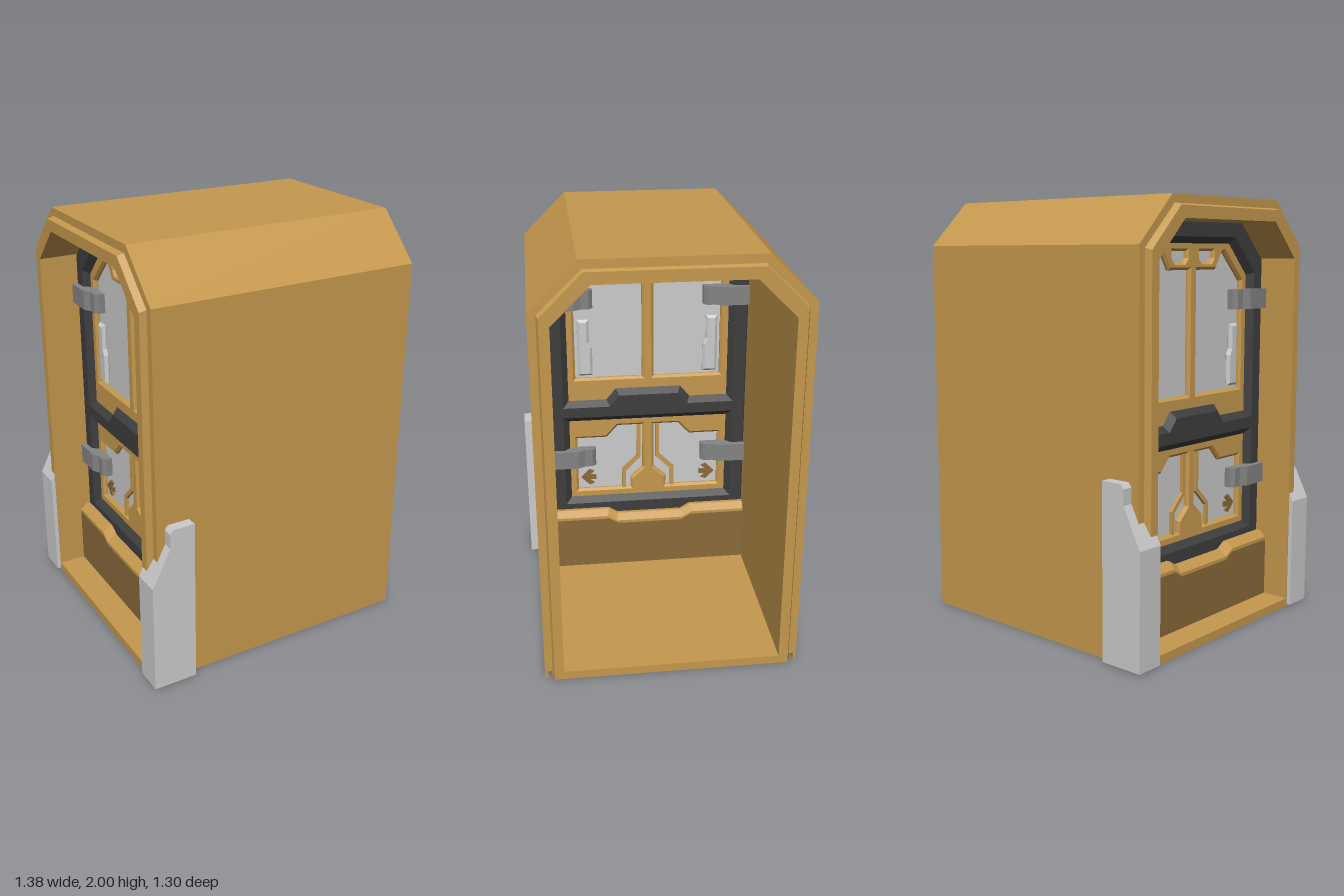
import * as THREE from 'three';

const mat = (color) => new THREE.MeshStandardMaterial({ color, flatShading: true });
const ORANGE = mat(0xc6994e), BROWN = mat(0x8a6a3a), BLACK = mat(0x3e3e3e);
const GREY = mat(0xcccccc), DARK_GREY = mat(0x848484);

const vecs = (pts) => pts.map(([a, b]) => new THREE.Vector2(a, b));
const flip = (pts) => pts.map(([a, b]) => [-a, b]);
// Completes a half outline, listed from bottom to top, across z = 0
const whole = (half) => [...half, ...flip(half).reverse()];

function extrude(pts, depth, bevel = 0, holes = []) {
  const shape = new THREE.Shape(vecs(pts));
  holes.forEach((h) => shape.holes.push(new THREE.Path(vecs(h))));
  return new THREE.ExtrudeGeometry(shape, {
    depth: depth - 2 * bevel, bevelEnabled: bevel > 0, bevelSegments: 1,
    bevelSize: bevel, bevelThickness: bevel, bevelOffset: -bevel,
  }).translate(0, 0, bevel);
}

function add(parent, name, geometry, material) {
  const mesh = new THREE.Mesh(geometry, material);
  mesh.name = name;
  parent.add(mesh);
  return mesh;
}

// Outline in (z, y), thickness from d0 to d1 measured towards -x
function slab(parent, name, material, pts, d0, d1, bevel = 0, holes = []) {
  const g = extrude(pts, d1 - d0, bevel, holes).translate(0, 0, d0).rotateY(-Math.PI / 2);
  return add(parent, name, g, material);
}

function box(parent, name, material, size, pos) {
  return add(parent, name, new THREE.BoxGeometry(...size).translate(...pos), material);
}

// Open-bottomed arch band between two half outlines
const band = (outer, inner) => [...whole(outer), ...whole(inner).reverse()];
const inner = (y) => [[0.51, y], [0.51, 1.73], [0.34, 1.9]];

// End rim whose outer edge tapers towards the end at |x| = tip
function rim(parent, name, d0, d1, tip) {
  const outer = [[0.568, 0], [0.568, 1.78], [0.378, 1.965]];
  const mesh = slab(parent, name, ORANGE, band(outer, inner(0)), d0, d1);
  const p = mesh.geometry.attributes.position;
  for (let i = 0; i < p.count; i++) {
    const atTip = Math.abs(Math.abs(p.getX(i)) - tip) < 1e-4;
    if (!atTip || (Math.abs(p.getZ(i)) < 0.52 && p.getY(i) < 1.91)) continue;
    p.setZ(i, p.getZ(i) * 0.977);
    if (p.getY(i) > 1) p.setY(i, p.getY(i) - 0.012);
  }
  mesh.geometry.computeVertexNormals();
}

// One face of the doorway, looking towards -x
function doorFace() {
  const face = new THREE.Group();
  face.name = 'doorFace';

  // Dark surround with an upper and a lower opening
  const upper = whole([[0.17, 1.05], [0.22, 0.99], [0.41, 0.99], [0.41, 1.65], [0.27, 1.795]]);
  const lower = whole([[0.41, 0.43], [0.41, 0.865]]);
  slab(face, 'doorFrame', BLACK, whole([[0.54, 0.04], [0.54, 1.74], [0.35, 1.93]]),
    0, 0.1, 0.035, [upper, lower]);

  // Coloured door skin with cut-outs over the grey core
  const window = [[0.375, 1.105], [0.03, 1.105], [0.03, 1.68], [0.175, 1.68], [0.225, 1.76],
    [0.24, 1.76], [0.375, 1.625]];
  const vent = [[0.15, 1.765], [0.05, 1.765], [0.05, 1.735], [0.068, 1.715], [0.132, 1.715],
    [0.15, 1.735]];
  const panel = [[0.375, 0.465], [0.095, 0.465], [0.095, 0.52], [0.03, 0.58], [0.03, 0.83],
    [0.16, 0.83], [0.22, 0.765], [0.375, 0.765]];
  const holes = [window, vent, panel].flatMap((h) => [h, flip(h)]);
  slab(face, 'doorSkin', ORANGE, whole([[0.46, 0.4], [0.46, 1.68], [0.29, 1.84]]),
    0, 0.07, 0.012, holes);
  slab(face, 'doorCore', GREY, whole([[0.45, 0.41], [0.45, 1.66], [0.28, 1.82]]), 0, 0.048);

  // Parts that repeat on both door leaves
  const handle = [[0.36, 1.12], [0.36, 1.42], [0.3, 1.42], [0.3, 1.3], [0.285, 1.27], [0.285, 1.12]];
  const trim = [[0.06, 0.83], [0.06, 0.65], [0.14, 0.57], [0.14, 0.46], [0.12, 0.46],
    [0.12, 0.56], [0.04, 0.64], [0.04, 0.83]];
  const arrow = [[0.36, 0.53], [0.315, 0.575], [0.29, 0.565], [0.315, 0.543], [0.28, 0.543],
    [0.28, 0.517], [0.315, 0.517], [0.29, 0.495], [0.315, 0.485]];
  const hinge = [[0.51, 0.08], [0.51, 0.128], [0.375, 0.128], [0.34, 0.108], [0.3, 0.108],
    [0.28, 0.09], [0.28, 0.06], [0.4, 0.06]];
  const hingeAxes = new THREE.Matrix4().makeBasis(new THREE.Vector3(0, 0, 1),
    new THREE.Vector3(-1, 0, 0), new THREE.Vector3(0, -1, 0));
  for (const side of [(p) => p, flip]) {
    slab(face, 'handle', GREY, side(handle), 0.04, 0.07, 0.012);
    slab(face, 'panelTrim', ORANGE, side(trim), 0.04, 0.064);
    slab(face, 'arrow', BROWN, side(arrow), 0.04, 0.058);
    for (const top of [1.585, 0.715]) {
      const g = extrude(side(hinge), 0.095).applyMatrix4(hingeAxes).translate(0, top, 0);
      add(face, 'hinge', g, DARK_GREY);
    }
  }

  // Threshold block: sloped ledge with a flat kick panel
  const ledge = (z, y) => whole([[z, 0.035], [z, y], [0.22, y], [0.17, y - 0.03]]);
  slab(face, 'threshold', ORANGE, ledge(0.55, 0.365), 0, 0.15, 0.03);
  slab(face, 'kickPanel', BROWN, ledge(0.51, 0.32), 0.1, 0.152);
  return face;
}

export function createModel() {
  const model = new THREE.Group();
  model.name = 'doorwayModule';

  // Main tunnel with chamfered roof, raised floor and thin skirts below it
  const outer = [[0.6, 0.035], [0.6, 1.79], [0.39, 2]];
  slab(model, 'shell', ORANGE, band(outer, inner(0.035)), -0.67, 0.64);
  box(model, 'floor', ORANGE, [1.34, 0.01, 1.06], [0.01, 0.036, 0]);
  for (const s of [1, -1]) {
    box(model, 'skirt', ORANGE, [1.31, 0.036, 0.015], [0.015, 0.018, s * 0.5925]);
    box(model, 'endSkirt', ORANGE, [0.03, 0.041, 1.11], [0.01 + s * 0.665, 0.0205, 0]);
  }

  // Raised rims at both ends
  rim(model, 'leftRim', -0.69, -0.66, 0.69);
  rim(model, 'rightRim', 0.63, 0.67, 0.67);

  // Two-sided doorway set back inside the tunnel
  const door = new THREE.Group();
  door.name = 'doorway';
  door.position.x = -0.385;
  const back = doorFace();
  back.rotation.y = Math.PI;
  door.add(doorFace(), back);
  box(door, 'sill', BLACK, [0.3, 0.01, 1.14], [0, 0.033, 0]);
  model.add(door);

  // Corner guards
  const guard = [[-0.69, 0.01], [-0.48, 0.01], [-0.48, 0.81], [-0.585, 0.81],
    [-0.6, 0.79], [-0.6, 0.72], [-0.69, 0.54]];
  for (const z of [0.515, -0.65]) {
    add(model, 'cornerGuard', extrude(guard, 0.135).translate(0, 0, z), GREY);
  }
  return model;
}
